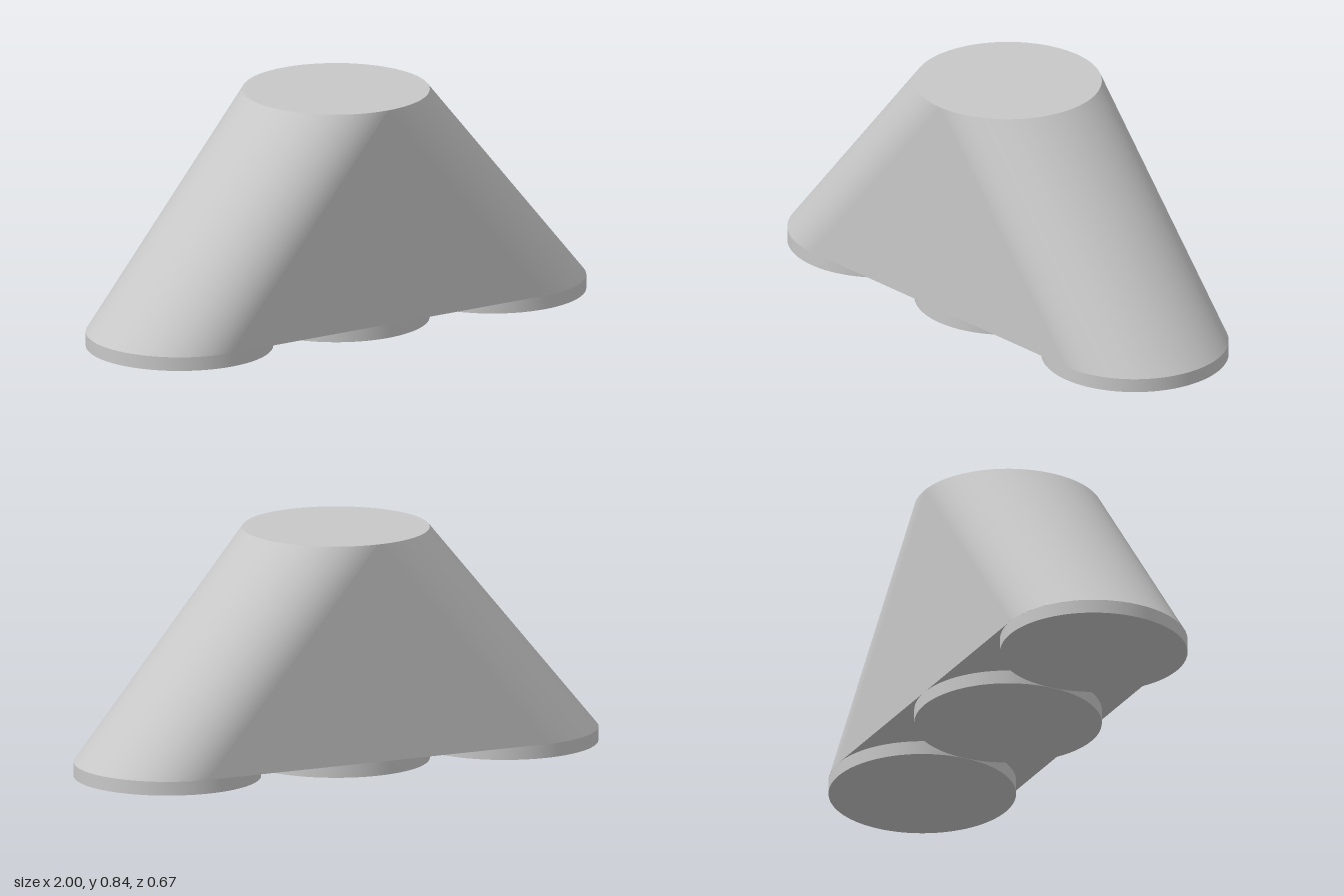
import * as THREE from 'three';

const R = 0.333, OFFSET = 0.667, BASE = 0.05, TOP = 0.84, STEPS = 48;

// Oblique wall blending an oblong bottom outline into a round top outline
function wallGeometry() {
  const positions = [], indices = [];
  for (const side of [1, -1]) {
    for (let i = 0; i <= STEPS; i++) {
      const a = Math.PI * (i / STEPS + (side > 0 ? 0 : 1));
      const x = R * Math.sin(a), z = R * Math.cos(a);
      positions.push(x + side * OFFSET, BASE, z, x, TOP, z);
    }
  }
  const count = positions.length / 6;
  for (let i = 0; i < count; i++) {
    const b = 2 * i, n = 2 * ((i + 1) % count);
    indices.push(b, n, n + 1, b, n + 1, b + 1);
  }
  const geometry = new THREE.BufferGeometry();
  geometry.setAttribute('position', new THREE.Float32BufferAttribute(positions, 3));
  geometry.setIndex(indices);
  geometry.computeVertexNormals();
  return geometry;
}

export function createModel() {
  const model = new THREE.Group();
  model.name = 'taperedManifold';
  const grey = new THREE.MeshStandardMaterial({ color: 0xc8c8c8 });
  grey.name = 'light grey';

  const add = (name, geometry) => {
    const mesh = new THREE.Mesh(geometry, grey);
    mesh.name = name;
    model.add(mesh);
    return mesh;
  };

  add('bodyWall', wallGeometry());

  // Round top face
  const top = add('topFace', new THREE.CircleGeometry(R, 2 * STEPS));
  top.rotation.x = -Math.PI / 2;
  top.position.y = TOP;

  // Oblong underside
  const oblong = new THREE.Shape();
  oblong.absarc(OFFSET, 0, R, -Math.PI / 2, Math.PI / 2);
  oblong.absarc(-OFFSET, 0, R, Math.PI / 2, Math.PI * 1.5);
  const underside = add('underside', new THREE.ShapeGeometry(oblong, STEPS));
  underside.rotation.x = Math.PI / 2;
  underside.position.y = BASE;

  // Three round feet in a row
  ['rightFoot', 'middleFoot', 'leftFoot'].forEach((name, i) => {
    const foot = add(name, new THREE.CylinderGeometry(R, R, BASE, 2 * STEPS));
    foot.position.set((i - 1) * OFFSET, BASE / 2, 0);
  });

  return model;
}
